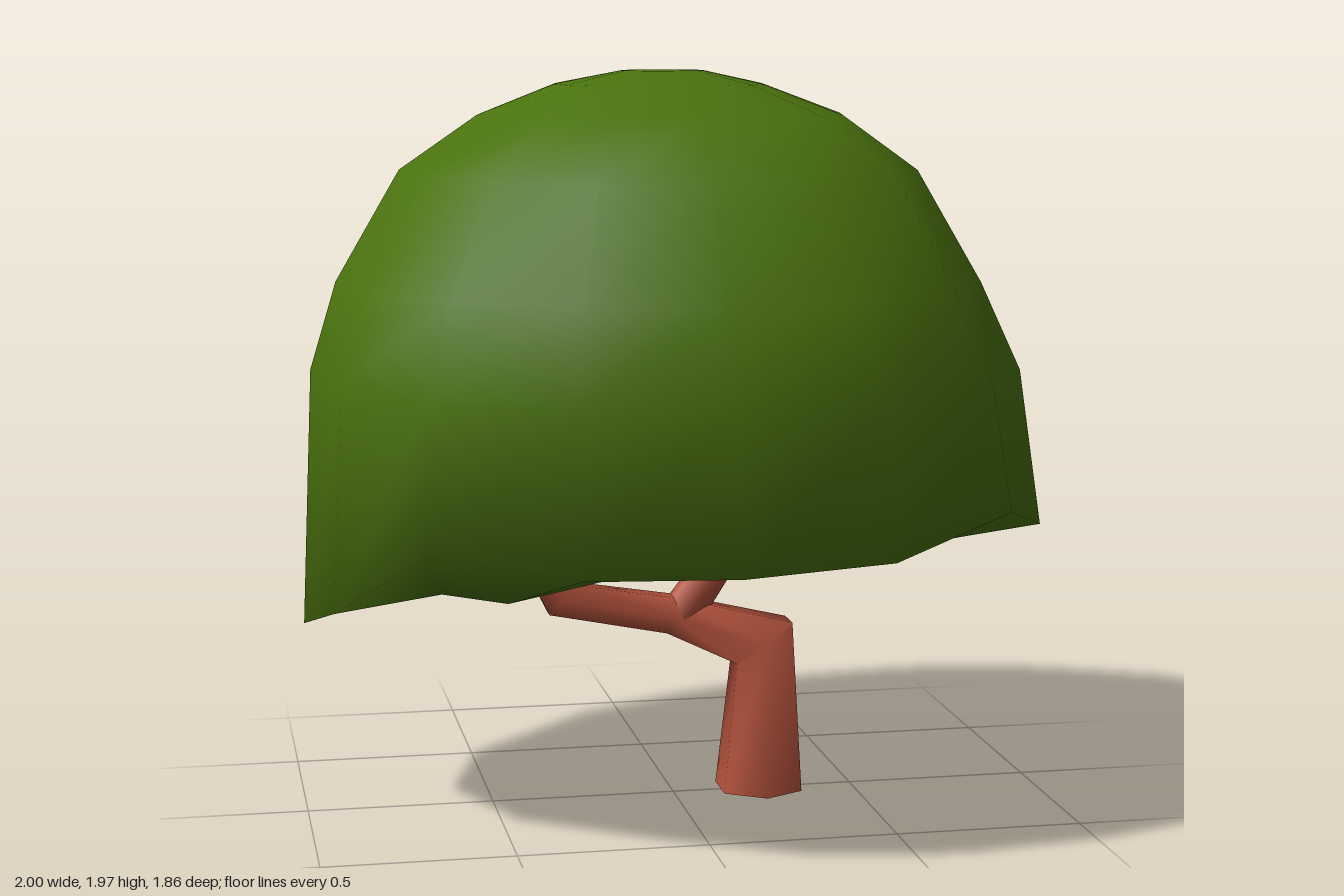
import * as THREE from 'three';
import { toCreasedNormals } from 'three/addons/utils/BufferGeometryUtils.js';

// Skin a list of equal rings (arrays of [x, y, z]) and close both ends with a centre point
function skin(rings, startCentre, endCentre) {
  const n = rings[0].length;
  const points = [...rings.flat(), startCentre, endCentre];
  const start = rings.length * n, end = start + 1, last = start - n;
  const index = [];
  for (let i = 0; i < n; i++) {
    const j = (i + 1) % n;
    for (let r = 0; r < rings.length - 1; r++) {
      const a = r * n + i, b = r * n + j;
      index.push(a, a + n, b, b, a + n, b + n);
    }
    index.push(start, i, j, end, last + j, last + i);
  }
  const geometry = new THREE.BufferGeometry();
  geometry.setAttribute('position', new THREE.Float32BufferAttribute(points.flat(), 3));
  geometry.setIndex(index);
  geometry.computeVertexNormals();
  return geometry;
}

// Tapered six-sided limb along [x, y, radius] stations in the z = 0 plane, with mitred bends
function limb(stations, sides = 6) {
  const at = (i) => new THREE.Vector2(stations[i][0], stations[i][1]);
  const rings = stations.map(([x, y, radius], i) => {
    const before = at(Math.max(i, 1)).sub(at(Math.max(i, 1) - 1)).normalize();
    const k = Math.min(i, stations.length - 2);
    const after = at(k + 1).sub(at(k)).normalize();
    const tangent = before.clone().add(after).normalize();
    const stretch = 1 / Math.max(tangent.dot(after), 0.75);
    return Array.from({ length: sides }, (_, s) => {
      const a = ((s + 0.5) / sides) * Math.PI * 2;
      const across = Math.cos(a) * radius * stretch;
      return [x + tangent.y * across, y - tangent.x * across, Math.sin(a) * radius];
    });
  });
  const first = stations[0], last = stations[stations.length - 1];
  return toCreasedNormals(skin(rings, [first[0], first[1], 0], [last[0], last[1], 0]), 1.4);
}

// Dome with a drooping, notched rim and a hollow underside
function canopy() {
  const sides = 16;
  // Heights from the left side (+x) round by the front (+z): rim, then the swelling inside it
  const rim = [0.78, 0.785, 0.88, 0.80, 0.785, 0.78, 0.82, 0.62,
    0.52, 0.555, 0.81, 0.77, 0.785, 0.80, 0.89, 0.79];
  const swelling = [0.76, 0.755, 0.77, 0.80, 0.79, 0.74, 0.66, 0.64,
    0.63, 0.64, 0.67, 0.74, 0.78, 0.76, 0.745, 0.755];
  const bulge = [1, 1, 1.045, 1.02];
  const ring = (cx, rx, rz, height) => Array.from({ length: sides }, (_, i) => {
    const a = (i / sides) * Math.PI * 2;
    const k = bulge[i % 4];
    return [cx + Math.cos(a) * rx * k, height(i), Math.sin(a) * rz * k];
  });
  const rings = [
    ring(-0.02, 0.38, 0.38, (i) => 0.83 + (swelling[i] - 0.76) * 0.4),
    ring(0, 0.7, 0.68, (i) => swelling[i]),
    ring(0, 1, 0.91, (i) => rim[i]),
  ];
  // Outer dome: [y, centre x, x radius, z radius]
  for (const [y, cx, rx, rz] of [
    [1.2, -0.02, 0.95, 0.93], [1.43, -0.04, 0.86, 0.87], [1.72, -0.04, 0.69, 0.70],
    [1.86, -0.035, 0.49, 0.48], [1.94, -0.04, 0.28, 0.29], [1.975, -0.03, 0.11, 0.09],
  ]) rings.push(ring(cx, rx, rz, () => y));
  return skin(rings, [-0.03, 0.85, 0], [-0.03, 1.975, 0]);
}

export function createModel() {
  const leafGreen = new THREE.MeshStandardMaterial({ color: 0x4a720e });
  leafGreen.name = 'leafGreen';
  const barkRed = new THREE.MeshStandardMaterial({ color: 0xb5533d });
  barkRed.name = 'barkRed';

  const tree = new THREE.Group();
  tree.name = 'tree';
  const add = (name, geometry, material) => {
    const mesh = new THREE.Mesh(geometry, material);
    mesh.name = name;
    tree.add(mesh);
  };

  // Foliage
  add('canopy', canopy(), leafGreen);
  // Trunk bending into the long branch
  add('trunk', limb([
    [0.24, 0.005, 0.125], [0.247, 0.42, 0.088], [-0.01, 0.505, 0.058],
    [-0.315, 0.56, 0.052], [-0.42, 0.75, 0.04],
  ]), barkRed);
  // Short crooked side branch
  add('sideBranch', limb([
    [0.02, 0.5, 0.06], [0.14, 0.67, 0.05], [0.275, 0.735, 0.042], [0.28, 0.86, 0.036],
  ]), barkRed);
  return tree;
}
